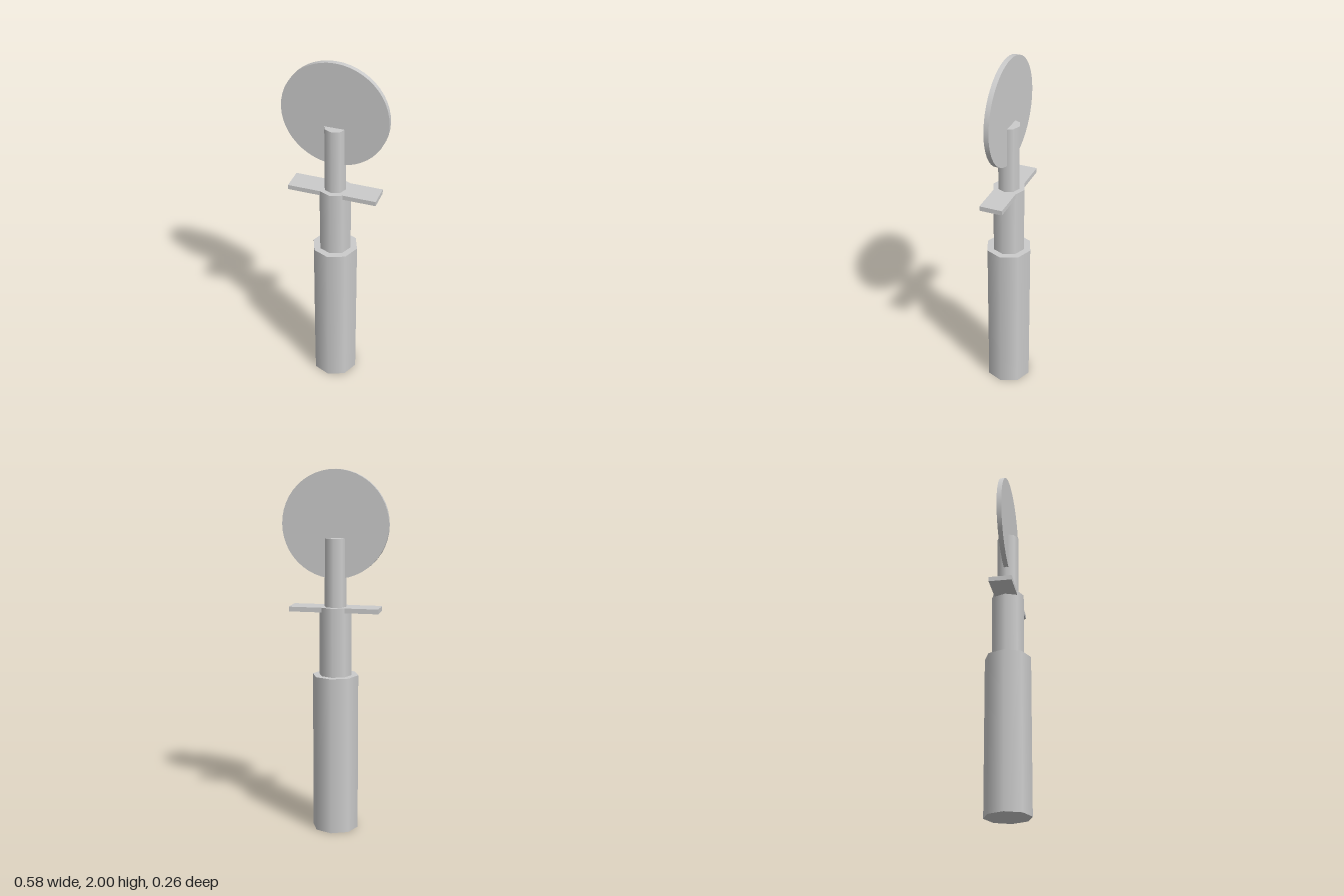
import * as THREE from 'three';

export function createModel() {
  const group = new THREE.Group();
  const material = new THREE.MeshStandardMaterial({ color: 0xcccccc });

  function add(name, geometry, y) {
    const mesh = new THREE.Mesh(geometry, material);
    mesh.name = name;
    mesh.position.y = y;
    group.add(mesh);
    return mesh;
  }

  // Stacked eight-sided sections: name, radius, bottom, top
  const sections = [
    ['handle', 0.128, 0, 0.883],
    ['collar', 0.09, 0.883, 1.263],
    ['shaft', 0.061, 1.263, 1.635],
  ];
  for (const [name, radius, bottom, top] of sections) {
    add(name, new THREE.CylinderGeometry(radius, radius, top - bottom, 8), (bottom + top) / 2);
  }

  // Flat crossguard, flush with the top of the collar
  add('crossguard', new THREE.BoxGeometry(0.493, 0.026, 0.127), 1.25);

  // Upright round blade set into the shaft
  const blade = new THREE.CylinderGeometry(0.292, 0.292, 0.027, 48);
  blade.rotateX(Math.PI / 2);
  add('discBlade', blade, 1.708);

  return group;
}
